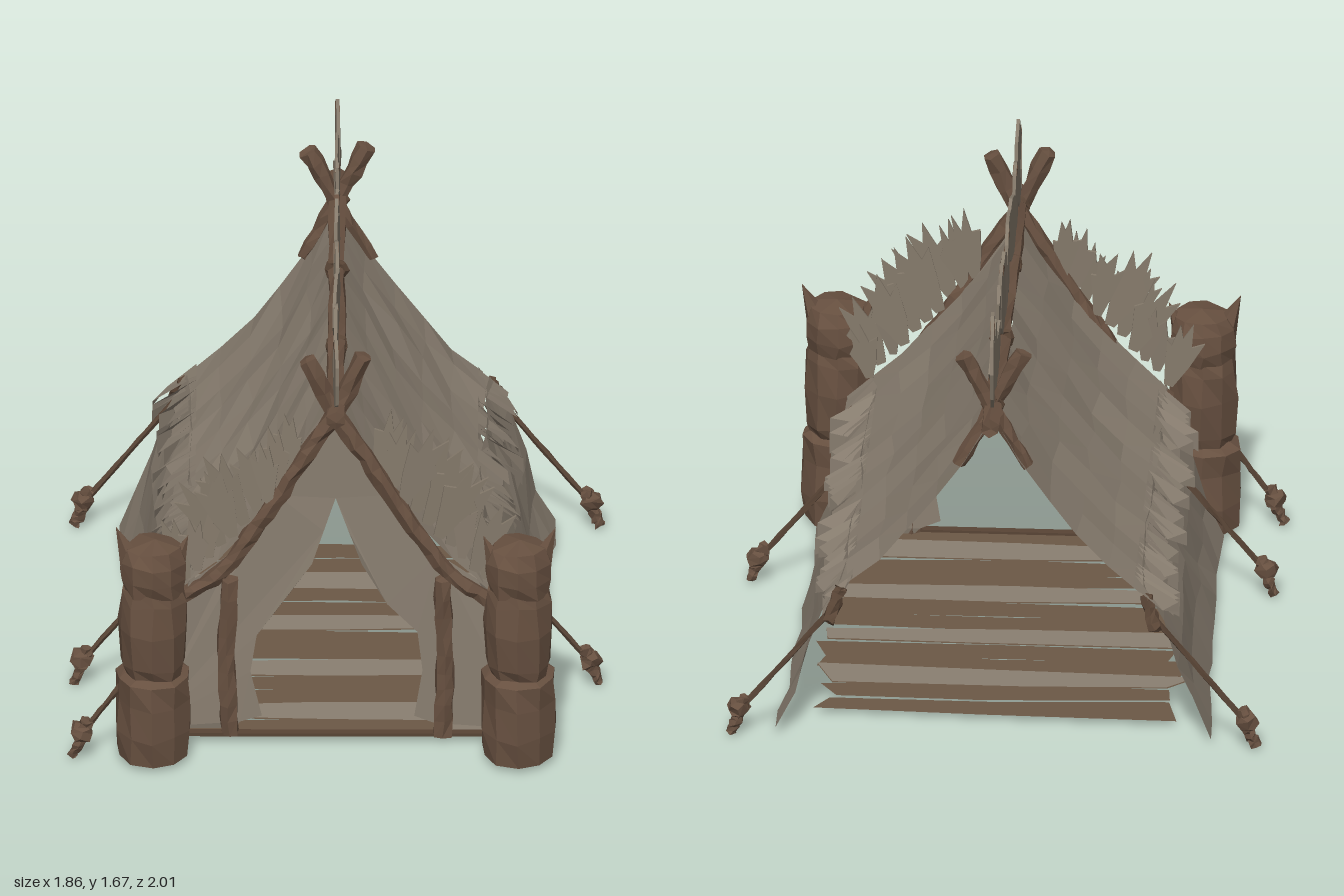
import * as THREE from 'three';

const flat = (name, color, side = THREE.FrontSide) =>
  Object.assign(new THREE.MeshStandardMaterial({ color, flatShading: true, side }), { name });

// repeatable noise from a position, so shared corners stay joined
const noise = (x, y, z, k) => {
  const s = Math.sin(Math.round(x * 500) * 12.99 + Math.round(y * 500) * 78.23 + Math.round(z * 500) * 37.72 + k * 91.7) * 43758.55;
  return (s - Math.floor(s)) * 2 - 1;
};
const V = (x, y, z) => new THREE.Vector3(x, y, z);
const outline = pts => new THREE.Shape(pts.map(([x, y]) => new THREE.Vector2(x, y)));

function roughen(geo, amount) {
  const p = geo.attributes.position;
  for (let i = 0; i < p.count; i++) {
    const x = p.getX(i), y = p.getY(i), z = p.getZ(i);
    p.setXYZ(i, x + noise(x, y, z, 1) * amount, y + noise(x, y, z, 2) * amount, z + noise(x, y, z, 3) * amount);
  }
  geo.computeVertexNormals();
  return geo;
}

// capped, slightly crooked pole along a path
function poleGeo(points, r0, r1 = r0, sides = 6, rough = 0.006) {
  const curve = new THREE.CatmullRomCurve3(points);
  const geo = new THREE.CylinderGeometry(r1, r0, 1, sides, points.length * 3);
  const p = geo.attributes.position, q = new THREE.Quaternion(), up = V(0, 1, 0);
  for (let i = 0; i < p.count; i++) {
    const t = THREE.MathUtils.clamp(p.getY(i) + 0.5, 0, 1);
    q.setFromUnitVectors(up, curve.getTangent(t));
    const v = V(p.getX(i), 0, p.getZ(i)).applyQuaternion(q).add(curve.getPoint(t));
    p.setXYZ(i, v.x, v.y, v.z);
  }
  return roughen(geo, rough);
}

// sheet of cloth: a cross-section in x, y carried along z
function clothGeo(profile, z0, z1, flare, rough) {
  const nz = 10, geo = new THREE.PlaneGeometry(1, 1, profile.length - 1, nz);
  const p = geo.attributes.position;
  for (let i = 0; i < p.count; i++) {
    const [x, y] = profile[i % profile.length];
    const t = Math.floor(i / profile.length) / nz;
    p.setXYZ(i, x + flare * (1 - y) * t * t, y, z0 + (z1 - z0) * t);
  }
  return roughen(geo, rough);
}

const plate = (pts, depth) =>
  new THREE.ExtrudeGeometry(outline(pts), { depth, bevelEnabled: false }).translate(0, 0, -depth / 2);

// broad leaf and torn leaf, both standing on their base in the x, y plane
function leafGeo(w, h, seed) {
  const n = k => noise(seed, k, 3, 5) * 0.1;
  return plate([[-0.1, 0], [-0.3 + n(1), 0.1], [-0.48, 0.35 + n(2)], [-0.46 + n(3), 0.7], [-0.25, 0.9 + n(4)],
    [0.02 + n(5), 1], [0.2, 0.9], [0.36, 0.82 + n(7)], [0.5, 0.5 + n(8)], [0.3 + n(6), 0.15], [0.1, 0]]
    .map(([x, y]) => [x * w, y * h]), 0.012);
}
function tornLeafGeo(w, h, seed) {
  const n = k => noise(seed, k, 3, 5) * 0.1;
  return plate([[-0.15, 0], [-0.42, 0.35 + n(1)], [-0.62, 0.72 + n(2)], [-0.26, 0.66], [-0.12 + n(3), 1],
    [0.12, 0.74 + n(4)], [0.38 + n(5), 0.93], [0.4, 0.6], [0.6, 0.55 + n(6)], [0.36, 0.28], [0.15, 0]]
    .map(([x, y]) => [x * w, y * h]), 0.01);
}

export function createModel() {
  const model = new THREE.Group();
  const wood = flat('wood', 0x675040);
  const darkWood = flat('dark wood', 0x584435);
  const cloth = flat('hide cloth', 0x8a7f71, THREE.DoubleSide);
  const leaf = flat('dry leaf', 0x857a6b, THREE.DoubleSide);
  const mat = flat('floor mat', 0x6c5846, THREE.DoubleSide);
  const add = (name, geo, material, parent = model) => {
    const m = new THREE.Mesh(geo, material);
    m.name = name;
    parent.add(m);
    return m;
  };

  // ridge pole with lashings
  add('ridgePole', poleGeo([V(0, 1.3, 0.83), V(0, 1.31, 0.3), V(0, 1.29, -0.3), V(0, 1.3, -1)], 0.032), wood);
  for (const z of [0.72, 0.27, -0.3, -0.82])
    add('ridgeLashing', roughen(new THREE.TorusGeometry(0.03, 0.012, 5, 8).translate(0, 1.3, z), 0.005), darkWood);

  // crest of leaves along the ridge, some with withered tips: z, width, height
  const crest = [[0.77, 0.15, 0.26], [0.67, 0.2, 0.33], [0.5, 0.2, 0.25], [0.25, 0.25, 0.24], [0.01, 0.2, 0.25],
    [-0.19, 0.15, 0.25], [-0.31, 0.18, 0.27], [-0.52, 0.18, 0.27], [-0.66, 0.13, 0.2], [-0.77, 0.2, 0.27], [-0.88, 0.2, 0.34]];
  crest.forEach(([z, w, h], i) => {
    const torn = i === 7 || i === 9;
    const m = add('crestLeaf', (torn ? tornLeafGeo : leafGeo)(w, h, i), leaf);
    m.position.set(0, 1.33, z);
    m.rotation.y = Math.PI / 2 + noise(i, 1, 1, 1) * 0.08;
    if (i % 2 === 0)
      add('leafTip', plate([[-0.2 * w, 0.86 * h], [0.15 * w, 0.84 * h], [0.16 * w, 0.9 * h], [0, 0.96 * h]], 0.015), wood, m);
  });

  // gable line shared by poles and roof
  const gable = [[0, 1.28], [0.1, 1.12], [0.2, 0.95], [0.3, 0.79], [0.41, 0.64], [0.53, 0.56]];

  for (const s of [1, -1]) {
    const side = new THREE.Group();
    side.name = s > 0 ? 'leftSide' : 'rightSide';
    model.add(side);

    // front gable pole, short crossed pole at the back, door post
    add('gablePole', poleGeo([V(-s * 0.1, 1.5, 0.735 + s * 0.015), ...gable.map(([x, y]) => V(s * x, y, 0.735 + s * 0.01))], 0.033, 0.028), wood, side);
    add('backPole', poleGeo([V(-s * 0.1, 1.5, -0.82 + s * 0.015), V(0, 1.29, -0.82 + s * 0.015), V(s * 0.12, 1.07, -0.825)], 0.033, 0.022), wood, side);
    add('doorPost', poleGeo([V(s * 0.37, 0.02, 0.735), V(s * 0.38, 0.3, 0.73), V(s * 0.37, 0.63, 0.735)], 0.033), wood, side);

    // roof and side wall
    const roof = [[0.015, 1.235], [0.1, 1.1], [0.2, 0.95], [0.3, 0.82], [0.4, 0.71], [0.51, 0.61]];
    const wall = [[0.5, 0.62], [0.55, 0.48], [0.61, 0.32], [0.65, 0.17], [0.7, 0.025]];
    const flip = a => a.map(([x, y]) => [x * s, y]);
    add('roofCloth', clothGeo(flip(roof), 0.73, -0.85, 0, 0.012), cloth, side);
    add('wallCloth', clothGeo(flip(wall), 0.73, -0.83, s * 0.06, 0.014), cloth, side);

    // ragged fringe under the eave
    const pos = [];
    for (let i = 0; i < 40; i++) {
      const z = 0.7 - i * 0.039, a = noise(i, s, 2, 1), b = noise(i, s, 2, 2), w = 0.035 + 0.012 * b;
      const out = s * (0.595 + 0.055 * a), tip = 0.465 + 0.045 * b, mid = s * (0.56 + 0.04 * b);
      const root = [s * 0.49, 0.63, z + w], root2 = [s * 0.49, 0.63, z - w];
      const m = [mid, 0.54, z - w], o = [out, 0.53, z + w];
      pos.push(...root, ...root2, ...m, ...root, ...m, ...o, ...o, ...m, out, tip, z + a * 0.03);
    }
    const fringe = new THREE.BufferGeometry();
    fringe.setAttribute('position', new THREE.Float32BufferAttribute(pos, 3));
    fringe.computeVertexNormals();
    add('eaveFringe', fringe, cloth, side);

    // front curtain drawn aside
    const curtain = outline(flip([[0, 1.24], [0, 0.92], [0.04, 0.81], [0.09, 0.67], [0.18, 0.52], [0.28, 0.4],
      [0.295, 0.25], [0.265, 0.07], [0.34, 0.05], [0.36, 0.02], [0.66, 0.02], [0.5, 0.6], [0.36, 0.72], [0.2, 0.95]]));
    add('doorCurtain', roughen(new THREE.ShapeGeometry(curtain).translate(0, 0, 0.705), 0.008), cloth, side);

    // torn leaves standing in the plane of the front gable
    for (let i = 0; i < 10; i++) {
      const t = i / 9, a = noise(i, s, 4, 1);
      const m = add('gableLeaf', tornLeafGeo(0.1 + 0.02 * a, 0.29 - 0.05 * t + 0.05 * a, i + 20 * s), leaf, side);
      m.position.set(s * (0.15 + 0.37 * t), 1.02 - 0.4 * t, 0.715 + 0.012 * (i % 3));
      m.rotation.set(a * 0.03, a * 0.12, -s * (0.3 + 0.2 * a));
    }

    // carved totem: drum base, barrel body, eared head
    const totem = new THREE.Group();
    totem.name = 'totem';
    totem.position.set(s * 0.635, 0, 0.865);
    side.add(totem);
    const lathe = pts => roughen(new THREE.LatheGeometry(pts.map(([r, y]) => new THREE.Vector2(r, y)), 10), 0.008);
    add('totemBase', lathe([[0, 0.02], [0.13, 0.02], [0.135, 0.12], [0.128, 0.24], [0.132, 0.33], [0.1, 0.345], [0, 0.345]]), wood, totem);
    add('totemBody', lathe([[0, 0.33], [0.1, 0.33], [0.115, 0.38], [0.123, 0.52], [0.12, 0.63], [0.108, 0.68], [0, 0.68]]), wood, totem);
    add('totemHead', lathe([[0, 0.66], [0.106, 0.66], [0.118, 0.72], [0.117, 0.78], [0.095, 0.83], [0, 0.85]]), wood, totem);
    for (const e of [1, -1]) {
      const outer = e === s;
      const ear = add('totemEar', new THREE.ConeGeometry(outer ? 0.06 : 0.05, outer ? 0.19 : 0.15, 5), wood, totem);
      ear.position.set(e * 0.093, outer ? 0.815 : 0.8, 0);
      ear.rotation.z = -e * 0.4;
    }

    // guy ropes and pegs: start point, peg z
    const ropes = [[V(s * 0.54, 0.53, -0.85), -0.84], [V(s * 0.58, 0.47, 0.33), 0.335]];
    if (s < 0) ropes.push([V(-0.74, 0.3, 0.88), 0.88]);
    for (const [from, z] of ropes) {
      const end = V(s * 0.88, 0.1, z);
      add('guyRope', poleGeo([from, from.clone().lerp(end, 0.5), end], 0.011, 0.011, 5, 0.002), darkWood, side);
      add('peg', poleGeo([V(s * 0.915, 0.01, z), V(s * 0.89, 0.07, z), V(s * 0.865, 0.15, z)], 0.018, 0.024), wood, side);
      add('pegHead', roughen(new THREE.DodecahedronGeometry(0.04).translate(s * 0.885, 0.105, z), 0.007), wood, side);
    }
    add('eaveKnob', poleGeo([V(s * 0.53, 0.58, -0.83), V(s * 0.57, 0.48, -0.9)], 0.022), darkWood, side);
  }

  // ragged floor strips, every third one covered by a paler hide
  for (let i = 0; i < 13; i++) {
    const z = 0.68 - i * 0.108, a = noise(i, 7, 1, 1), b = noise(i, 7, 1, 2), c = noise(i, 7, 1, 3);
    const strip = outline([[-0.62 + 0.06 * a, -z - 0.055 + 0.03 * b], [0, -z - 0.055 + 0.02 * c], [0.62 + 0.06 * b, -z - 0.055 + 0.03 * a],
      [0.6 + 0.05 * c, -z + 0.05 + 0.02 * b], [0.1 * a, -z + 0.06], [-0.6 + 0.05 * b, -z + 0.05 + 0.03 * c]]);
    const geo = new THREE.ShapeGeometry(strip).rotateX(-Math.PI / 2).translate(0, 0.021 + 0.002 * (i % 2), 0);
    add('floorStrip', geo, mat);
    if (i % 3 === 1) add('floorHide', geo.clone().translate(0, 0.005, 0), cloth);
  }
  add('doorsill', new THREE.BoxGeometry(1.1, 0.012, 0.03).translate(0, 0.024, 0.735), darkWood);

  // stand on the ground
  model.position.y = -new THREE.Box3().setFromObject(model).min.y;
  return model;
}
